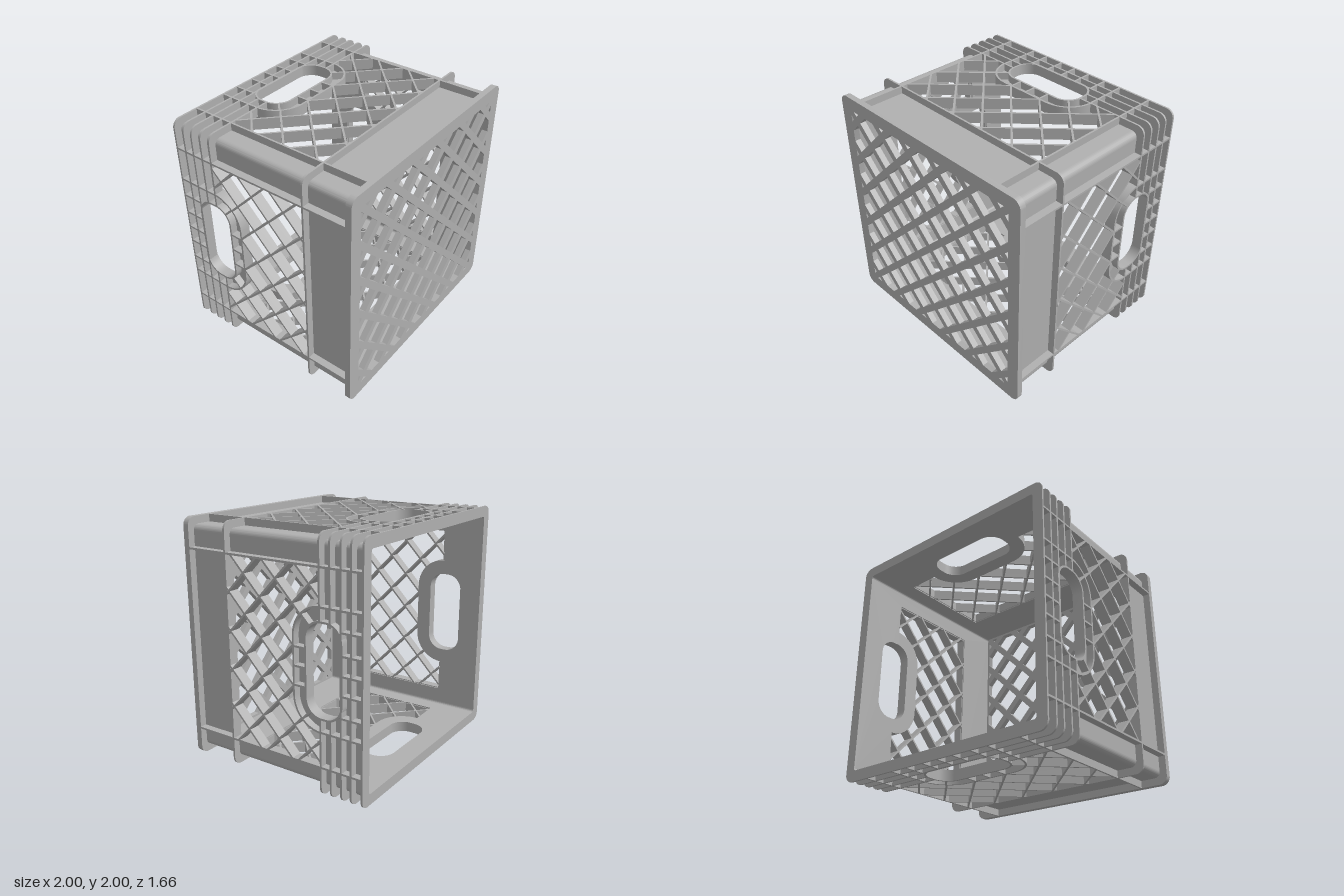
import * as THREE from 'three';
import { toCreasedNormals } from 'three/addons/utils/BufferGeometryUtils.js';

const INNER = 0.91, SKIN = 0.94, OUT = 1; // distances of the wall layers from the centre line
const BACK = -0.83, FRONT = 0.83, PLATE = 0.05, RIB = 0.016;
const plastic = new THREE.MeshStandardMaterial({ color: 0xb0b0b0 });
plastic.name = 'grey plastic';

function add(parent, geometry, name) {
  const mesh = new THREE.Mesh(geometry, plastic);
  mesh.name = name;
  parent.add(mesh);
  return mesh;
}

// Rounded rectangle as a closed path
function roundedRect(x0, y0, x1, y1, r, Type = THREE.Shape) {
  const p = new Type();
  p.moveTo(x0 + r, y0);
  p.lineTo(x1 - r, y0);
  p.absarc(x1 - r, y0 + r, r, -Math.PI / 2, 0, false);
  p.lineTo(x1, y1 - r);
  p.absarc(x1 - r, y1 - r, r, 0, Math.PI / 2, false);
  p.lineTo(x0 + r, y1);
  p.absarc(x0 + r, y1 - r, r, Math.PI / 2, Math.PI, false);
  p.lineTo(x0, y0 + r);
  p.absarc(x0 + r, y0 + r, r, Math.PI, Math.PI * 1.5, false);
  return p;
}

function extrude(shape, depth) {
  const g = new THREE.ExtrudeGeometry(shape, { depth, bevelEnabled: false, curveSegments: 8 });
  return toCreasedNormals(g, 0.6);
}

// Plan shape (x, -z) raised from height y0 to y1
const raise = (shape, y0, y1) => extrude(shape, y1 - y0).rotateX(-Math.PI / 2).translate(0, y0, 0);

// Curved outline below the hand hole, at radius r about the hole's corner centres
const HX = 0.23, HS = 0.47;
function gripOutline(r) {
  const pts = [];
  for (let i = 0; i <= 10; i++) {
    const a = -i / 10 * Math.PI / 2;
    pts.push(new THREE.Vector2(HX + r * Math.cos(a), HS + r * Math.sin(a)));
  }
  return pts.concat(pts.map(p => new THREE.Vector2(-p.x, p.y)).reverse());
}

// Wall rib from (xa, za) to (xb, zb)
function wallRib(parent, xa, za, xb, zb, name, y0 = INNER + 0.01) {
  const length = Math.hypot(xb - xa, zb - za);
  const g = new THREE.BoxGeometry(length, OUT - y0, RIB);
  g.rotateY(-Math.atan2(zb - za, xb - xa));
  g.translate((xa + xb) / 2, (y0 + OUT) / 2, (za + zb) / 2);
  add(parent, g, name);
}

// Runs of a crossing diagonal grid that lie inside a region
function diagonals(cx, cy, px, py, inside, draw) {
  const step = 0.004;
  for (const dir of [1, -1]) {
    for (let k = -8; k <= 8; k++) {
      let start = null, last = null;
      for (let t = -1.3; t <= 1.3; t += step) {
        const x = cx + k * px + t, y = cy + dir * t * py / px;
        if (inside(x, y)) {
          if (!start) start = [x, y];
          last = [x, y];
        } else if (start) {
          if (last[0] - start[0] > 0.01) draw(...start, ...last);
          start = null;
        }
      }
    }
  }
}

function makeWall() {
  const wall = new THREE.Group();

  // Skin with lattice window and hand hole
  const skin = new THREE.Shape([[-0.89, -0.79], [0.89, -0.79], [0.89, -BACK], [-0.89, -BACK]]
    .map(p => new THREE.Vector2(...p)));
  const gripEdge = gripOutline(0.25);
  skin.holes.push(new THREE.Path([
    new THREE.Vector2(0.76, 0.46), new THREE.Vector2(0.76, -0.41),
    new THREE.Vector2(-0.76, -0.41), new THREE.Vector2(-0.76, 0.46),
    ...gripEdge.slice().reverse()]));
  skin.holes.push(roundedRect(-0.36, 0.34, 0.36, 0.64, 0.13, THREE.Path));
  add(wall, raise(skin, INNER, SKIN), 'wall skin');

  // Lips around the hand hole and its grip
  const lip = roundedRect(-0.376, 0.324, 0.376, 0.656, 0.146);
  lip.holes.push(roundedRect(-0.36, 0.34, 0.36, 0.64, 0.13, THREE.Path));
  add(wall, raise(lip, INNER, OUT), 'hand hole lip');
  const rim = new THREE.Shape([...gripOutline(0.255), ...gripOutline(0.239).reverse()]);
  add(wall, raise(rim, INNER, OUT), 'grip rim');

  // Ribs across the grip
  for (const x of [-0.15, 0, 0.15]) wallRib(wall, x, -0.33, x, -0.225, 'grip rib');
  const c = Math.SQRT1_2;
  for (const s of [-1, 1]) {
    wallRib(wall, s * (HX + 0.14 * c), -HS + 0.14 * c, s * (HX + 0.245 * c), -HS + 0.245 * c, 'grip rib');
    wallRib(wall, s * 0.76, BACK, s * 0.76, 0.79, 'long rib');
    wallRib(wall, s * 0.475, BACK, s * 0.475, -0.46, 'rim cross rib');
  }
  for (const x of [-0.32, -0.15, 0, 0.15, 0.32]) wallRib(wall, x, BACK, x, -0.645, 'rim cross rib');

  // Thin deep lattice
  const inWindow = (x, z) => {
    if (Math.abs(x) > 0.76 || z > 0.415 || z < -0.465) return false;
    const dx = Math.max(Math.abs(x) - HX, 0), dz = Math.max(z + HS, 0);
    return Math.hypot(dx, dz) > 0.245;
  };
  diagonals(0, 0.235, 0.315, 0.305, inWindow,
    (xa, za, xb, zb) => wallRib(wall, xa, za, xb, zb, 'wall lattice', INNER));
  return wall;
}

export function createModel() {
  const model = new THREE.Group();
  const crate = new THREE.Group();
  crate.name = 'crate';
  crate.position.y = 1;
  model.add(crate);

  // Four walls with rounded corners
  const corner = new THREE.Shape();
  corner.absarc(0.89, 0.89, SKIN - 0.89, 0, Math.PI / 2, false);
  corner.absarc(0.89, 0.89, INNER - 0.89, Math.PI / 2, 0, true);
  const cornerGeometry = extrude(corner, 0.79 - BACK).translate(0, 0, BACK);

  // Corner-wrapping ribs that stop at the hand holes
  const wrap = new THREE.Shape();
  wrap.moveTo(OUT, 0.365);
  wrap.lineTo(OUT, 0.93);
  wrap.absarc(0.93, 0.93, 0.07, 0, Math.PI / 2, false);
  wrap.lineTo(0.365, OUT);
  wrap.lineTo(0.365, 0.925);
  wrap.lineTo(0.925, 0.925);
  wrap.lineTo(0.925, 0.365);
  const wrapGeometry = extrude(wrap, RIB);

  const wall = makeWall();
  for (let i = 0; i < 4; i++) {
    const side = new THREE.Group();
    side.name = ['topWall', 'rightWall', 'bottomWall', 'leftWall'][i];
    side.rotation.z = i * Math.PI / 2;
    side.add(wall.clone());
    add(side, cornerGeometry, 'corner');
    for (const z of [-0.46, -0.55]) add(side, wrapGeometry, 'corner rib').position.z = z - RIB / 2;
    crate.add(side);
  }

  // Ribs running all the way round
  const hoop = roundedRect(-OUT, -OUT, OUT, OUT, 0.07);
  hoop.holes.push(roundedRect(-0.92, -0.92, 0.92, 0.92, 0.03, THREE.Path));
  const hoopGeometry = extrude(hoop, RIB);
  for (const z of [BACK, -0.735, -0.65, 0.405]) add(crate, hoopGeometry, 'hoop rib').position.z = z;
  const mouth = roundedRect(-0.925, -0.925, 0.925, 0.925, 0.035);
  mouth.holes.push(roundedRect(-INNER, -INNER, INNER, INNER, 0.02, THREE.Path));
  add(crate, extrude(mouth, RIB), 'mouth edge').position.z = BACK;

  // Lattice floor with its frame
  const H = 0.89;
  const frame = roundedRect(-OUT, -OUT, OUT, OUT, 0.07);
  frame.holes.push(roundedRect(-H, -H, H, H, 0.002, THREE.Path));
  add(crate, extrude(frame, PLATE), 'floor frame').position.z = FRONT - PLATE;
  diagonals(0, 0, 0.327, 0.327, (x, y) => Math.max(Math.abs(x), Math.abs(y)) < H + 0.03,
    (xa, ya, xb, yb) => {
      const g = new THREE.BoxGeometry(Math.hypot(xb - xa, yb - ya), 0.058, PLATE);
      g.rotateZ(Math.atan2(yb - ya, xb - xa));
      add(crate, g, 'floor lattice').position.set((xa + xb) / 2, (ya + yb) / 2, FRONT - PLATE / 2);
    });
  return model;
}
